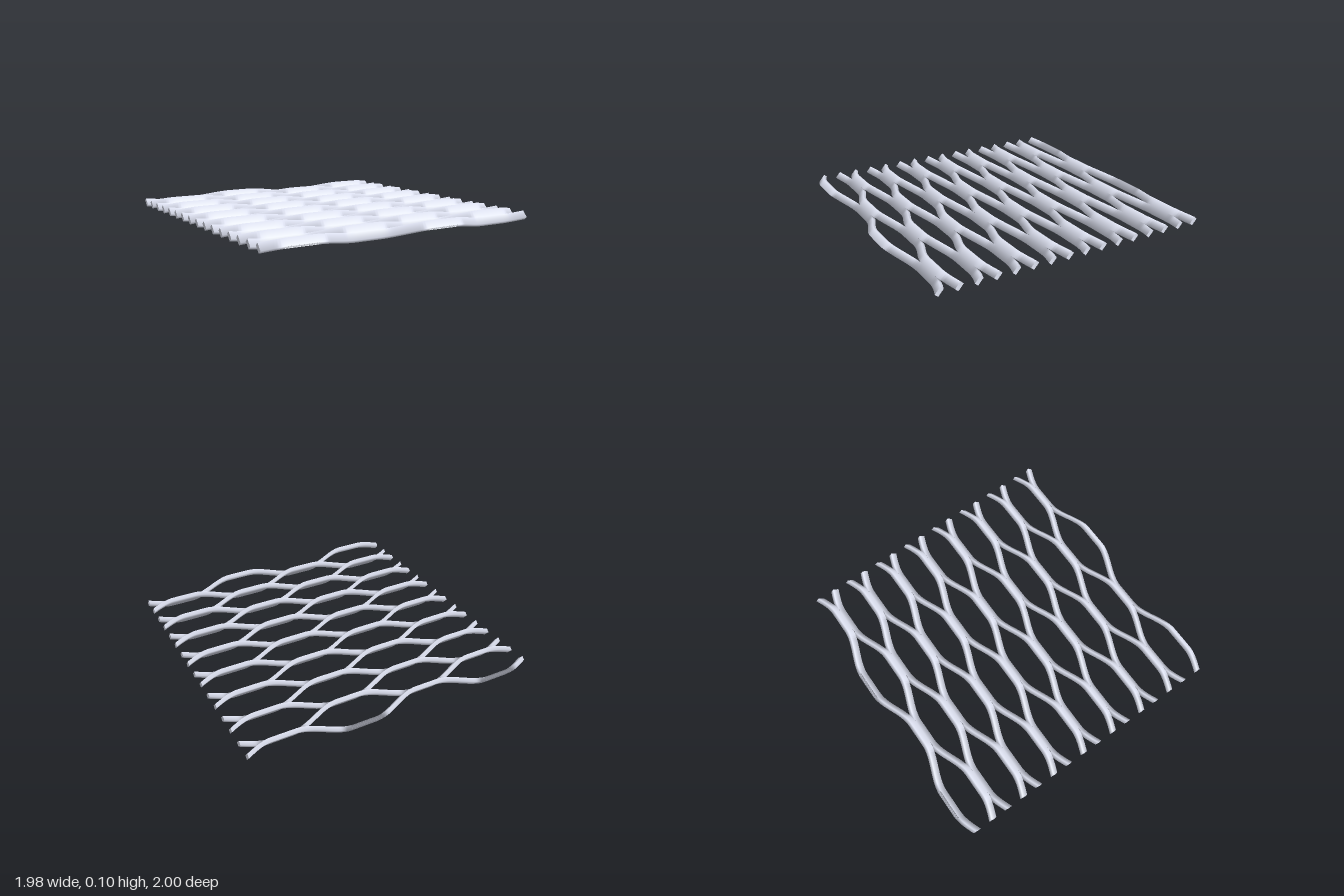
import * as THREE from 'three';

const HALF = 0.99;             // half extent of the sheet in x
const PERIOD = 0.99;           // x distance between bonds of one row
const ROWS = 16;               // number of strands
const PITCH = 2 * HALF / ROWS; // z distance between bond rows
const WIDTH = 0.053, THICK = 0.027, TILT = 0.72;
const STEP_Y = WIDTH * Math.cos(TILT) / 2; // travel of a strand to its bonds
const STEP_Z = PITCH / 2 - WIDTH * Math.sin(TILT) / 2;

// +1 at the even bonds, -1 at the odd ones, flat at both, smooth S between
function wave(x) {
  const v = THREE.MathUtils.euclideanModulo(x - PERIOD / 4, PERIOD);
  const d = Math.min(v, PERIOD - v);
  return 1 - 2 * THREE.MathUtils.smoothstep(d, 0.08, 0.415);
}

// Tilted flat bar whose section slides along the wave in z and y.
// Long edges are shaded round, except where two strands join into one plate.
function strandGeometry(sign) {
  const geo = new THREE.BoxGeometry(2 * HALF, WIDTH, THICK, 120, 1, 1);
  const p = geo.attributes.position, normals = geo.attributes.normal;
  const point = new THREE.Vector3(), normal = new THREE.Vector3();
  const tilt = new THREE.Euler(-TILT, 0, 0);
  for (let i = 0; i < p.count; i++) {
    point.fromBufferAttribute(p, i);
    const x = point.x, w = Math.sign(point.y), t = Math.sign(point.z);
    const f = sign * wave(x);
    point.applyEuler(tilt);
    p.setXYZ(i, x, point.y + f * STEP_Y, point.z + f * STEP_Z);

    if (Math.abs(normals.getX(i)) > 0.5) continue; // end caps stay flat
    const joined = THREE.MathUtils.smoothstep(-w * f, 0.6, 0.95);
    normal.set(0, w * (1 - joined), t).normalize().applyEuler(tilt);
    const slope = sign * (wave(x + 0.001) - wave(x - 0.001)) / 0.002;
    normal.x = -slope * (normal.y * STEP_Y + normal.z * STEP_Z);
    normal.normalize();
    normals.setXYZ(i, normal.x, normal.y, normal.z);
  }
  return geo;
}

export function createModel() {
  const group = new THREE.Group();
  group.name = 'expandedMetalSheet';
  const material = new THREE.MeshStandardMaterial({ color: 0xe4e8f8 });
  const shapes = [strandGeometry(1), strandGeometry(-1)];

  // Mirrored strands alternate, meeting in pairs at the bonds
  for (let k = 0; k < ROWS; k++) {
    const strand = new THREE.Mesh(shapes[k % 2], material);
    strand.name = `strand${k + 1}`;
    strand.position.set(0, 0.05, HALF - PITCH * (k + 0.5));
    group.add(strand);
  }
  return group;
}
